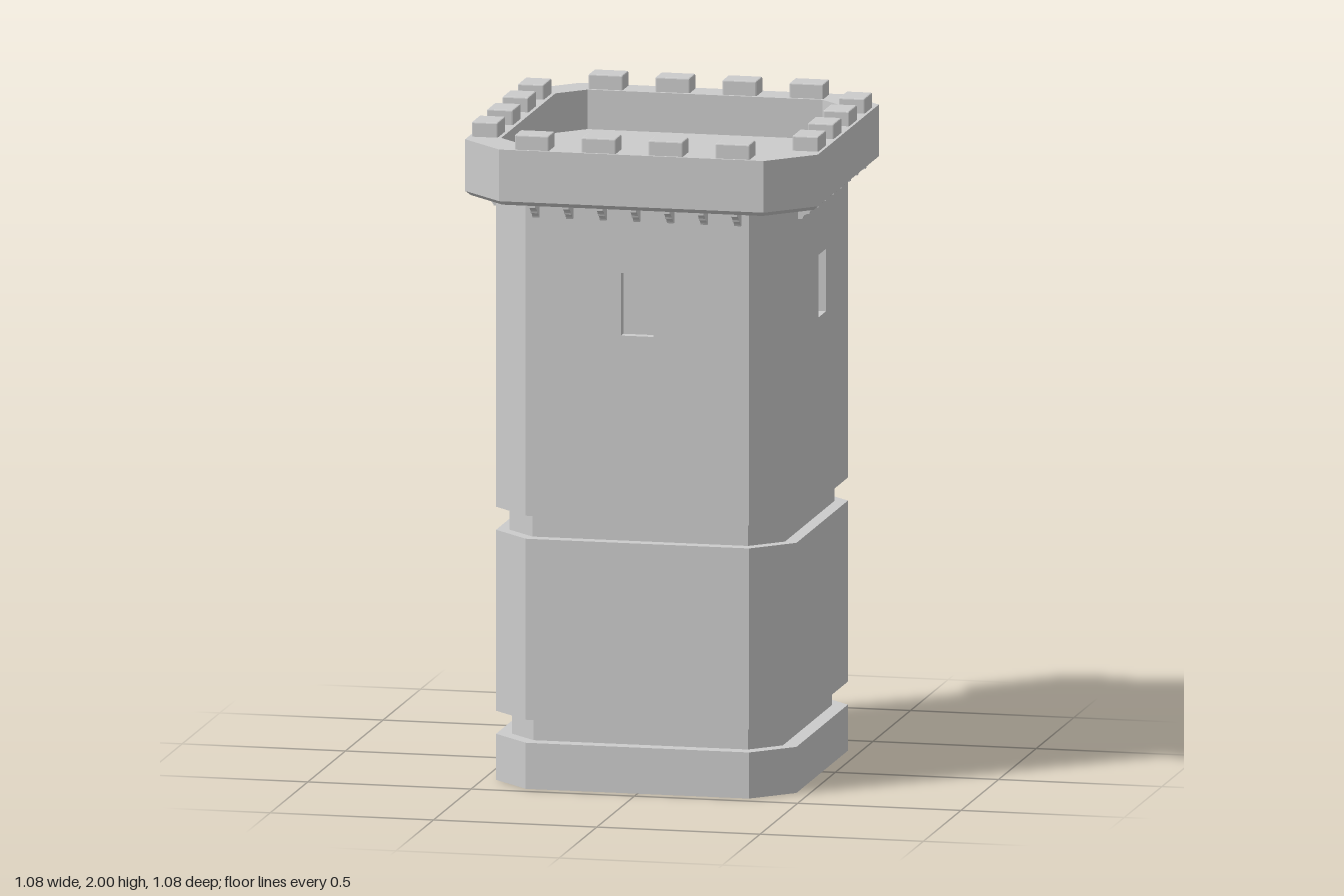
import * as THREE from 'three';
import { RoundedBoxGeometry } from 'three/addons/geometries/RoundedBoxGeometry.js';

const stone = new THREE.MeshStandardMaterial({ color: 0xcccccc, flatShading: true });

// Corners of a square with cut corners: half width h, flat sides from -f to f
const octagon = (h, f) => [[h, -f], [h, f], [f, h], [-f, h], [-h, f], [-h, -f], [-f, -h], [f, -h]];

// Skin a list of octagon rings [half, flat, y]; a ring of half 0 closes a cap
function loft(rings) {
  const pos = [];
  const pts = rings.map(([h, f, y]) => octagon(h, f).map(([x, z]) => [x, y, z]));
  for (let i = 0; i < rings.length - 1; i++) {
    for (let k = 0; k < 8; k++) {
      const n = (k + 1) % 8;
      const a = pts[i][k], b = pts[i][n], c = pts[i + 1][n], d = pts[i + 1][k];
      if (rings[i][0] > 0) pos.push(...a, ...c, ...b);
      if (rings[i + 1][0] > 0) pos.push(...a, ...d, ...c);
    }
  }
  const geo = new THREE.BufferGeometry();
  geo.setAttribute('position', new THREE.Float32BufferAttribute(pos, 3));
  geo.computeVertexNormals();
  return geo;
}

function add(parent, name, geo, x = 0, y = 0, z = 0) {
  const mesh = new THREE.Mesh(geo, stone);
  mesh.name = name;
  mesh.position.set(x, y, z);
  parent.add(mesh);
  return mesh;
}

const toShape = (pts) => new THREE.Shape(pts.map(([x, y]) => new THREE.Vector2(x, y)));
const extrude = (shape, depth) =>
  new THREE.ExtrudeGeometry(shape, { depth, bevelEnabled: false, curveSegments: 6 });

export function createModel() {
  const tower = new THREE.Group();
  tower.name = 'tower';
  const H = 0.46, F = 0.342, recess = 0.03;
  const y0 = 0.83, y1 = 1.79;

  // Base and lower shaft with two sunken bands
  add(tower, 'lowerShaft', loft([
    [0, 0, 0], [H, F, 0], [H, F, 0.14],
    [0.415, 0.328, 0.14], [0.415, 0.328, 0.21],
    [H, F, 0.21], [H, F, 0.76],
    [0.422, 0.33, 0.76], [0.422, 0.33, y0], [0, 0, y0],
  ]));

  // Upper core: cut corners at full size, sides set back for the wall panels
  const r = H - recess;
  const corner = [[r, F], [H, F], [F, H], [F, r]];
  const outline = [];
  for (let q = 0; q < 4; q++) {
    for (let [x, y] of corner) {
      for (let t = 0; t < q; t++) [x, y] = [-y, x];
      outline.push([x, y]);
    }
  }
  add(tower, 'upperCore', extrude(toShape(outline), y1 - y0).rotateX(-Math.PI / 2), 0, y0, 0);

  // Parapet: bevelled underside, outer wall, rim, inner wall and roof floor
  add(tower, 'parapet', loft([
    [0, 0, 1.785], [0.525, 0.398, 1.785], [0.54, 0.405, 1.798], [0.54, 0.405, 1.955],
    [0.44, 0.36, 1.955], [0.44, 0.36, 1.835], [0, 0, 1.835],
  ]));

  // Wall panel pierced by a window
  const wall = toShape([[-F, y0], [F, y0], [F, y1], [-F, y1]]);
  wall.holes.push(new THREE.Path([[-0.05, 1.39], [-0.05, 1.58], [0.05, 1.58], [0.05, 1.39]]
    .map((p) => new THREE.Vector2(...p))));
  const wallGeo = extrude(wall, recess);

  // Bracket with a stepped, curved underside, drawn as (outward, height)
  const bracket = new THREE.Shape();
  bracket.moveTo(-0.01, 1.79);
  bracket.lineTo(-0.01, 1.74);
  bracket.lineTo(0.012, 1.74);
  bracket.quadraticCurveTo(0.018, 1.757, 0.034, 1.757);
  bracket.lineTo(0.036, 1.763);
  bracket.quadraticCurveTo(0.044, 1.776, 0.062, 1.778);
  bracket.lineTo(0.062, 1.79);
  const bracketGeo = extrude(bracket, 0.02).translate(0, 0, -0.01).rotateY(-Math.PI / 2);
  const merlonGeo = new RoundedBoxGeometry(0.105, 0.06, 0.08, 1, 0.004);

  // The four sides are alike
  ['front', 'left', 'back', 'right'].forEach((label, s) => {
    const side = new THREE.Group();
    side.name = label + 'Side';
    side.rotation.y = s * Math.PI / 2;
    tower.add(side);
    add(side, 'windowWall', wallGeo, 0, 0, r);
    for (let i = -3; i <= 3; i++) add(side, 'bracket', bracketGeo, i * 0.103, 0, H);
    for (let i = 0; i < 4; i++) add(side, 'merlon', merlonGeo, (i - 1.5) * 0.205, 1.97, 0.491);
  });
  return tower;
}
